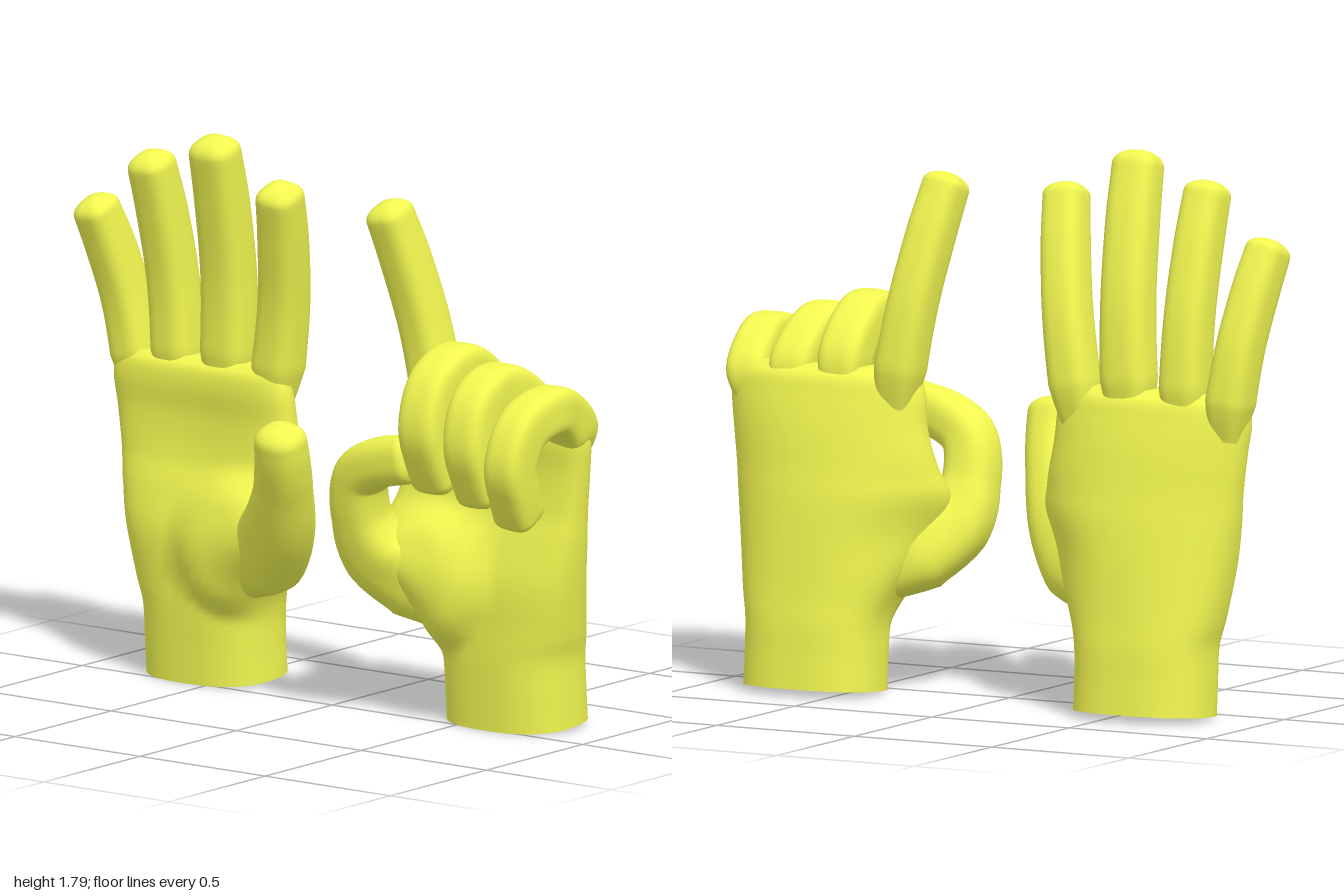
import * as THREE from 'three';

const skin = new THREE.MeshStandardMaterial({ color: 0xf2f750 });
const SEG = 48;
const V = (a) => new THREE.Vector3(...a);

// Rounded-square loop coordinates: n = 2 is an ellipse, higher is boxier
function loop(n) {
  return Array.from({ length: SEG }, (_, i) => {
    const a = (i / SEG) * Math.PI * 2, c = Math.cos(a), s = Math.sin(a);
    return [Math.sign(c) * Math.abs(c) ** (2 / n), Math.sign(s) * Math.abs(s) ** (2 / n)];
  });
}

// Smooth skin over a list of rings, with a crisp start cap and a soft end cap
function loft(name, rings) {
  const pos = [], idx = [], last = (rings.length - 1) * SEG;
  const put = (p) => pos.push(p.x, p.y, p.z) / 3 - 1;
  const centre = (r) => r.reduce((s, p) => s.add(p), new THREE.Vector3()).divideScalar(SEG);
  rings.forEach((r) => r.forEach(put));
  for (let i = 0; i < rings.length - 1; i++) {
    for (let j = 0; j < SEG; j++) {
      const k = (j + 1) % SEG, a = i * SEG, b = a + SEG;
      idx.push(a + j, a + k, b + k, a + j, b + k, b + j);
    }
  }
  const capStart = pos.length / 3;
  rings[0].forEach(put);
  const c0 = put(centre(rings[0])), c1 = put(centre(rings[rings.length - 1]));
  for (let j = 0; j < SEG; j++) {
    const k = (j + 1) % SEG;
    idx.push(c0, capStart + k, capStart + j, c1, last + j, last + k);
  }
  const g = new THREE.BufferGeometry();
  g.setAttribute('position', new THREE.Float32BufferAttribute(pos, 3));
  g.setIndex(idx);
  g.computeVertexNormals();
  const mesh = new THREE.Mesh(g, skin);
  mesh.name = name;
  return mesh;
}

// Finger: path points, half sizes [along sideRef, other way] per point, rounded tip
function finger(name, points, sizes, sideRef, n) {
  const curve = new THREE.CatmullRomCurve3(points.map(V), false, 'centripetal');
  const shape = loop(n), rings = [], steps = 36;
  const ring = (c, t, w, d) => {
    const side = sideRef.clone().addScaledVector(t, -sideRef.dot(t)).normalize();
    const nrm = t.clone().cross(side);
    rings.push(shape.map(([u, v]) => c.clone().addScaledVector(side, u * w).addScaledVector(nrm, v * d)));
  };
  const sizeAt = (t) => {
    const f = t * (sizes.length - 1), i = Math.min(Math.floor(f), sizes.length - 2);
    return [0, 1].map((k) => THREE.MathUtils.lerp(sizes[i][k], sizes[i + 1][k], f - i));
  };
  for (let i = 0; i <= steps; i++) {
    const t = i / steps;
    ring(curve.getPoint(t), curve.getTangent(t), ...sizeAt(t));
  }
  const end = curve.getPoint(1), dir = curve.getTangent(1), [w, d] = sizeAt(1);
  for (let i = 1; i <= 6; i++) {
    const a = (i / 6) * 1.45, s = Math.cos(a);
    ring(end.clone().addScaledVector(dir, Math.sin(a) * w * 0.65), dir, w * s, d * s);
  }
  return loft(name, rings);
}

// Palm and wrist rows: y, centre x, half width, centre z, half depth, forward bow of the sides
const PALM = [
  [0, -0.58, 0.23, -0.155, 0.175, 0],
  [0.12, -0.58, 0.23, -0.147, 0.175, 0],
  [0.23, -0.578, 0.234, -0.14, 0.176, 0],
  [0.32, -0.572, 0.26, -0.133, 0.172, 0.01],
  [0.48, -0.542, 0.318, -0.125, 0.165, 0.03],
  [0.62, -0.525, 0.355, -0.133, 0.14, 0.045],
  [0.72, -0.54, 0.35, -0.138, 0.116, 0.05],
  [0.85, -0.563, 0.344, -0.13, 0.1, 0.045],
  [0.95, -0.573, 0.346, -0.112, 0.093, 0.035],
  [1.01, -0.576, 0.33, -0.105, 0.08, 0.03],
  [1.04, -0.576, 0.3, -0.1, 0.045, 0.03],
];

function palm(mx) {
  const shape = loop(2.5), rings = [], thumbSide = mx(1) - mx(0);
  const outline = new THREE.CatmullRomCurve3(PALM.map((r) => V([r[0], r[1], r[2]])), false, 'catmullrom');
  const depth = new THREE.CatmullRomCurve3(PALM.map((r) => V([r[3], r[4], r[5]])), false, 'catmullrom');
  for (let i = 0; i <= 60; i++) {
    const p = outline.getPoint(i / 60), q = depth.getPoint(i / 60);
    rings.push(shape.map(([u, v]) => {
      const x = mx(p.y) + u * p.z;
      // the thumb side sweeps forward into the web of the thumb
      const web = Math.max(0, u * thumbSide) ** 2 * 0.085 * Math.exp(-(((p.x - 0.54) / 0.15) ** 2));
      // ball of the thumb
      const r2 = ((x - mx(-0.37)) / 0.24) ** 2 + ((p.x - 0.47) / 0.26) ** 2;
      const ball = 0.06 * THREE.MathUtils.smoothstep(1 - r2, 0, 0.7) * Math.sqrt(Math.max(0, -v));
      const z = q.x - v * q.y + q.z * u * u + web + ball;
      // the wrist is cut at a slight slope
      const y = p.x + Math.max(0, 1 - p.x / 0.2) * (0.02 - z) * 0.07;
      return new THREE.Vector3(x, y, z);
    }));
  }
  return loft('palm', rings);
}

// Straight fingers: name, base x, tip x, tip y, half width
const STRAIGHT = [
  ['littleFinger', -0.848, -0.933, 1.54, 0.068],
  ['ringFinger', -0.697, -0.712, 1.71, 0.072],
  ['middleFinger', -0.503, -0.46, 1.785, 0.081],
  ['indexFinger', -0.322, -0.2, 1.67, 0.072],
];

function straightFinger([name, x0, x1, top, w], mx) {
  const zs = [[0, -0.105], [0.2, -0.107], [0.5, -0.088], [0.8, -0.036], [1, 0.012]];
  const y1 = top - 0.05;
  const pts = zs.map(([f, z]) => [mx(x0 + (x1 - x0) * f), 0.9 + (y1 - 0.9) * f, z]);
  const sizes = [[w * 0.75, 0.05], [w * 1.05, 0.08], [w, 0.08], [w * 0.98, 0.078], [w * 0.95, 0.072]];
  return finger(name, pts, sizes, new THREE.Vector3(1, 0, 0), 3);
}

// Curled fingers: name, knuckle x, bend x, tip x, half width, side profile as [z, y]
const CURLED = [
  ['middleFinger', 0.54, 0.563, 0.568, 0.077,
    [[-0.11, 0.92], [-0.095, 1.05], [0, 1.15], [0.095, 1.182], [0.205, 1.13], [0.247, 1.01], [0.225, 0.92], [0.19, 0.845]]],
  ['ringFinger', 0.735, 0.722, 0.73, 0.074,
    [[-0.11, 0.92], [-0.09, 1.02], [0, 1.105], [0.09, 1.135], [0.19, 1.085], [0.225, 0.97], [0.2, 0.88], [0.17, 0.815]]],
  ['littleFinger', 0.878, 0.926, 0.888, 0.07,
    [[-0.1, 0.92], [-0.085, 0.99], [-0.005, 1.06], [0.085, 1.086], [0.2, 1.045], [0.253, 0.93], [0.22, 0.83], [0.185, 0.765]]],
];

function curledFinger([name, x0, xm, x1, w, side]) {
  const pts = side.map(([z, y], i) => [i < 3 ? x0 + (xm - x0) * i / 3 : xm + (x1 - xm) * (i - 3) / 4, y, z]);
  const sizes = side.map((_, i) => (i < 1 ? [w * 0.7, 0.05] : [w, i > 5 ? 0.072 : 0.077]));
  return finger(name, pts, sizes, new THREE.Vector3(1, 0, 0), 3.6);
}

export function createModel() {
  const model = new THREE.Group();
  model.name = 'hands';
  const front = new THREE.Vector3(0, 0, 1);
  const same = (x) => x, mirror = (x) => 0.04 - x;

  // Open right hand
  const open = new THREE.Group();
  open.name = 'openHand';
  open.add(palm(same));
  STRAIGHT.forEach((f) => open.add(straightFinger(f, same)));
  open.add(finger('thumb',
    [[-0.4, 0.38, -0.07], [-0.28, 0.455, -0.02], [-0.165, 0.57, 0.065], [-0.085, 0.71, 0.145], [-0.046, 0.82, 0.2], [-0.034, 0.89, 0.225]],
    [[0.09, 0.1], [0.115, 0.14], [0.105, 0.118], [0.088, 0.092], [0.082, 0.085], [0.078, 0.081]], front, 2.4));

  // Pointing left hand
  const pointing = new THREE.Group();
  pointing.name = 'pointingHand';
  pointing.add(palm(mirror), straightFinger(STRAIGHT[3], mirror));
  CURLED.forEach((f) => pointing.add(curledFinger(f)));
  pointing.add(finger('thumb',
    [[0.44, 0.38, -0.07], [0.33, 0.455, -0.02], [0.235, 0.54, 0.06], [0.206, 0.66, 0.115], [0.23, 0.795, 0.15], [0.31, 0.85, 0.17], [0.45, 0.885, 0.19]],
    [[0.09, 0.1], [0.115, 0.14], [0.108, 0.12], [0.092, 0.088], [0.085, 0.083], [0.08, 0.081], [0.07, 0.079]], front, 2.6));

  model.add(open, pointing);
  return model;
}
